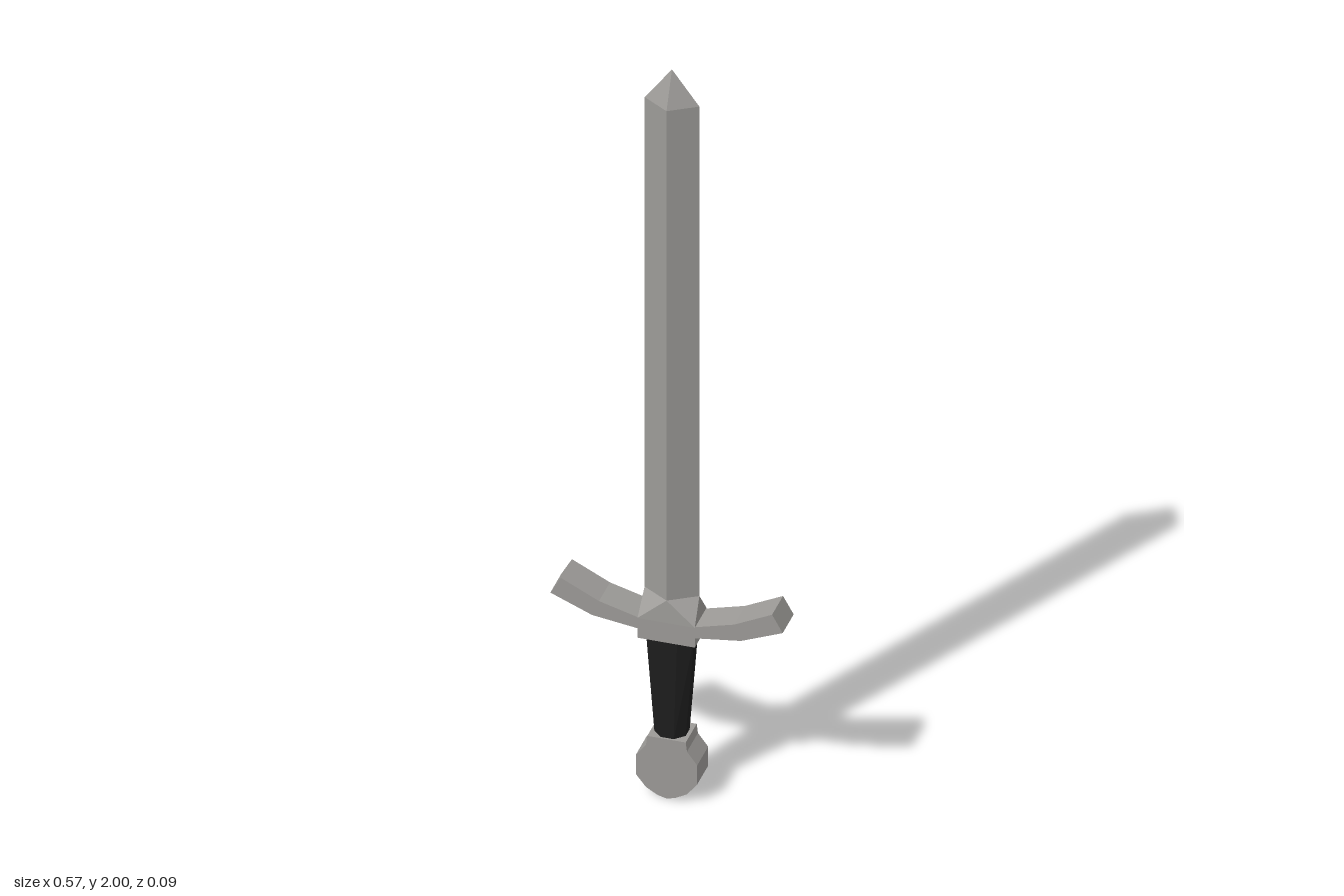
import * as THREE from 'three';

const steel = new THREE.MeshStandardMaterial({ color: 0x9c9a97, flatShading: true });
steel.name = 'steel grey';
const leather = new THREE.MeshStandardMaterial({ color: 0x1d1d1d, flatShading: true });
leather.name = 'black leather';

const BLADE_W = 0.067, BLADE_D = 0.042;   // half width and half depth of the blade
const HUB_W = 0.07, HUB_D = 0.045;        // half width and half depth of the guard centre
const HUB_BOTTOM = 0.435, HUB_TOP = 0.49, BLADE_BASE = 0.55, SHOULDER = 1.91;

function part(name, geometry, material, parent) {
  const mesh = new THREE.Mesh(geometry, material);
  mesh.name = name;
  parent.add(mesh);
  return mesh;
}

// Flat outline extruded symmetrically about z = 0
function slab(points, halfDepth) {
  const shape = new THREE.Shape(points.map(([x, y]) => new THREE.Vector2(x, y)));
  return new THREE.ExtrudeGeometry(shape, { depth: 2 * halfDepth, bevelEnabled: false })
    .translate(0, 0, -halfDepth);
}

// Facets that turn the square guard centre into the diamond blade section
function collarGeometry() {
  const top = [[0, BLADE_D], [BLADE_W, 0], [0, -BLADE_D], [-BLADE_W, 0]];
  const base = [[1, 1], [1, -1], [-1, -1], [-1, 1]];
  const T = i => [top[i % 4][0], BLADE_BASE, top[i % 4][1]];
  const B = i => [base[i % 4][0] * HUB_W, HUB_TOP, base[i % 4][1] * HUB_D];
  const positions = [];
  for (let i = 0; i < 4; i++) {
    positions.push(...T(i), ...B(i), ...T(i + 1));
    positions.push(...B(i + 3), ...B(i), ...T(i));
  }
  const g = new THREE.BufferGeometry();
  g.setAttribute('position', new THREE.Float32BufferAttribute(positions, 3));
  g.computeVertexNormals();
  return g;
}

// Eight-sided handle: tapers in width, keeps its depth
function gripGeometry() {
  const h = 0.28, rTop = 0.064, rBottom = 0.041;
  const g = new THREE.CylinderGeometry(rTop, rBottom, h, 8, 1, false, Math.PI / 8);
  const p = g.attributes.position;
  for (let i = 0; i < p.count; i++) {
    const r = p.getY(i) > 0 ? rTop : rBottom;
    p.setZ(i, p.getZ(i) / r * 0.04);
  }
  g.translate(0, 0.16 + h / 2, 0);
  g.computeVertexNormals();
  return g;
}

export function createModel() {
  const sword = new THREE.Group();
  sword.name = 'sword';

  // Blade and point
  const bladeLength = SHOULDER - BLADE_BASE;
  part('blade', new THREE.CylinderGeometry(1, 1, bladeLength, 4, 1, true)
    .scale(BLADE_W, 1, BLADE_D).translate(0, BLADE_BASE + bladeLength / 2, 0), steel, sword);
  part('bladeTip', new THREE.ConeGeometry(1, 2 - SHOULDER, 4, 1, true)
    .scale(BLADE_W, 1, BLADE_D).translate(0, (2 + SHOULDER) / 2, 0), steel, sword);

  // Guard: centre block, faceted collar and two upswept arms
  const guard = new THREE.Group();
  guard.name = 'guard';
  sword.add(guard);
  part('guardCentre', new THREE.BoxGeometry(2 * HUB_W, HUB_TOP - HUB_BOTTOM, 2 * HUB_D)
    .translate(0, (HUB_TOP + HUB_BOTTOM) / 2, 0), steel, guard);
  part('guardCollar', collarGeometry(), steel, guard);
  const arm = [[0.06, 0.457], [0.07, 0.459], [0.182, 0.474], [0.284, 0.516],
    [0.258, 0.562], [0.165, 0.516], [0.07, 0.49], [0.06, 0.488]];
  for (const side of [1, -1]) {
    part(side > 0 ? 'leftGuardArm' : 'rightGuardArm',
      slab(arm.map(([x, y]) => [x * side, y]), 0.042), steel, guard);
  }

  // Grip
  part('grip', gripGeometry(), leather, sword);

  // Pommel: rounded disc with a short neck
  const half = [[0.022, 0.006], [0.05, 0.022], [0.074, 0.052], [0.075, 0.107],
    [0.05, 0.14], [0.047, 0.165]];
  const mirrored = half.map(([x, y]) => [-x, y]).reverse();
  part('pommel', slab([[0, 0], ...half, ...mirrored], 0.042), steel, sword);

  return sword;
}
